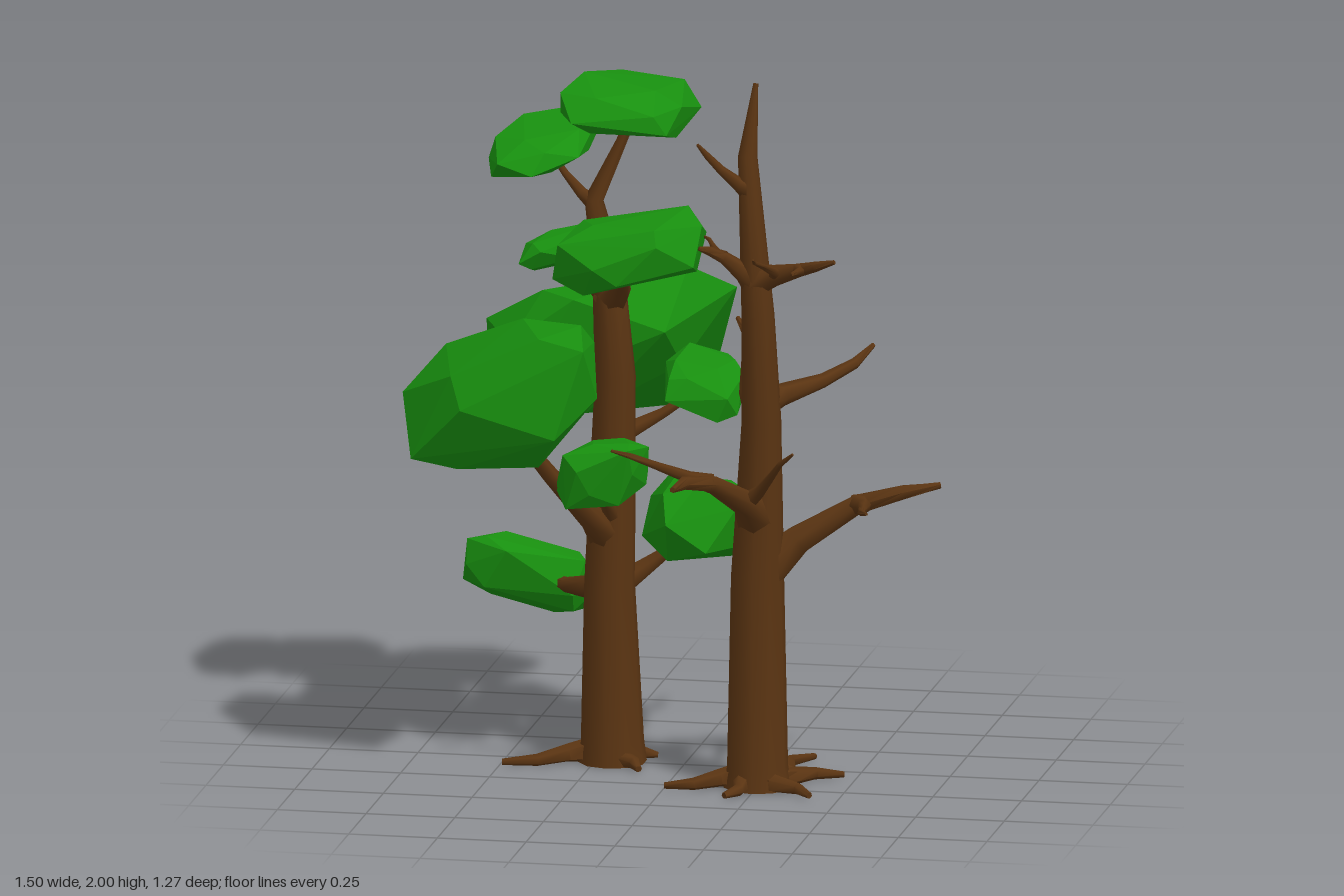
import * as THREE from 'three';
import { ConvexGeometry } from 'three/addons/geometries/ConvexGeometry.js';
import { toCreasedNormals } from 'three/addons/utils/BufferGeometryUtils.js';

const bark = new THREE.MeshStandardMaterial({ color: 0x5a3412 });
const leaf = new THREE.MeshStandardMaterial({ color: 0x18900f, flatShading: true });
const vec = (x, y, z) => new THREE.Vector3(x, y, z);

function seeded(seed) {
  let s = seed * 7919 + 17;
  return () => (s = (s * 16807) % 2147483647) / 2147483647;
}

// Tapered tube through points with one radius each, closed at both ends
function limb(name, pts, radii, sides) {
  const pos = [], idx = [], last = pts.length - 1, q = new THREE.Quaternion();
  pts.forEach((p, i) => {
    const dir = pts[Math.min(i + 1, last)].clone().sub(pts[Math.max(i - 1, 0)]).normalize();
    q.setFromUnitVectors(vec(0, 1, 0), dir);
    for (let k = 0; k < sides; k++) {
      const a = k / sides * Math.PI * 2, r = i * sides, n = r + sides, k2 = (k + 1) % sides;
      const v = vec(Math.sin(a), 0, Math.cos(a)).multiplyScalar(radii[i]).applyQuaternion(q).add(p);
      pos.push(v.x, Math.max(0, v.y), v.z);
      if (i < last) idx.push(r + k, r + k2, n + k, r + k2, n + k2, n + k);
    }
  });
  for (let k = 1; k < sides - 1; k++) {
    const t = last * sides;
    idx.push(0, k + 1, k, t, t + k, t + k + 1);
  }
  const geo = new THREE.BufferGeometry();
  geo.setAttribute('position', new THREE.Float32BufferAttribute(pos, 3));
  geo.setIndex(idx);
  const mesh = new THREE.Mesh(toCreasedNormals(geo, 1.15), bark);
  mesh.name = name;
  return mesh;
}

// Branch that bows upward and kinks sideways; returns its joints for twigs
function branch(group, name, start, tip, r, bow) {
  const span = tip.clone().sub(start), len = span.length();
  const side = vec(span.z, 0, -span.x).normalize();
  const joints = [0, 0.22, 0.55, 0.8, 1].map((t, i) => {
    const p = start.clone().addScaledVector(span, t);
    p.y += bow * len * Math.sin(Math.PI * t);
    return p.addScaledVector(side, len * 0.04 * Math.sin(i * Math.PI / 2));
  });
  group.add(limb(name, joints, [1.1, 0.7, 0.45, 0.34, 0.15].map(f => f * r), 6));
  return joints;
}

// Trunk from [x, y, z, radius] stations; returns a lookup of its axis by height
function trunk(group, name, stations) {
  const pts = stations.map(([x, y, z]) => vec(x, y, z));
  group.add(limb(name, pts, stations.map(s => s[3]), 10));
  return y => {
    const i = Math.max(1, pts.findIndex(p => p.y >= y)), a = pts[i - 1], b = pts[i];
    return a.clone().lerp(b, (y - a.y) / (b.y - a.y));
  };
}

// Flat crooked roots, each given by heading in degrees (0 = +x, 90 = +z) and length
function roots(group, name, base, list) {
  list.forEach(([deg, len], i) => {
    const along = (t, turn) => {
      const a = (deg + turn) * Math.PI / 180;
      return vec(base.x + Math.cos(a) * len * t, 0.03 - 0.02 * t, base.z + Math.sin(a) * len * t);
    };
    const pts = [along(0.1, 0), along(0.4, 8), along(0.7, -6), along(1, 0)];
    group.add(limb(name + (i + 1), pts, [0.05, 0.028, 0.018, 0.009], 6));
  });
}

// Faceted leaf clump filling a box; height slopes by kx and kz, depth slides with x by skew
function clump(name, center, size, [kx, kz, skew], seed) {
  const rnd = seeded(seed), pts = [], count = 20;
  const swell = c => Math.sign(c) * Math.pow(Math.abs(c), 0.65);
  for (let i = 0; i < count; i++) {
    const y = 1 - 2 * (i + 0.5) / count, r = Math.sqrt(1 - y * y);
    const a = i * 2.4 + seed + (rnd() - 0.5) * 0.6;
    const p = vec(swell(Math.cos(a) * r), swell(y), swell(Math.sin(a) * r));
    p.multiplyScalar(0.85 + rnd() * 0.2);
    p.y += kx * p.x + kz * p.z;
    p.z += skew * p.x;
    pts.push(p);
  }
  const box = new THREE.Box3().setFromPoints(pts);
  const mid = box.getCenter(vec(0, 0, 0)), fit = size.clone().divide(box.getSize(vec(0, 0, 0)));
  pts.forEach(p => p.sub(mid).multiply(fit).add(center));
  const mesh = new THREE.Mesh(new ConvexGeometry(pts), leaf);
  mesh.name = name;
  return mesh;
}

function leafyTree() {
  const g = new THREE.Group();
  g.name = 'leafyTree';
  const axis = trunk(g, 'leafyTrunk', [
    [-0.203, 0, -0.005, 0.096], [-0.203, 0.06, -0.005, 0.088], [-0.21, 0.5, 0, 0.071], [-0.19, 1.1, 0.02, 0.057],
    [-0.21, 1.4, 0.02, 0.045], [-0.25, 1.6, 0.02, 0.027], [-0.14, 1.84, 0.02, 0.011]]);
  roots(g, 'leafyRoot', axis(0), [[159, 0.31], [250, 0.18], [-25, 0.13], [52, 0.16]]);

  // Clumps: name, centre, size, slopes, then height and radius of the carrying bough
  [
    ['crown', [-0.155, 1.87, 0.01], [0.35, 0.175, 0.46], [-0.5, -0.1, -0.4], 1.72, 0.014],
    ['upperRight', [-0.405, 1.745, -0.02], [0.27, 0.13, 0.4], [0.4, -0.6, -0.3], 1.59, 0.024],
    ['upperFront', [-0.1, 1.515, 0.24], [0.4, 0.21, 0.38], [0.2, 0, -0.15], 1.32, 0.048],
    ['upperBack', [-0.355, 1.435, -0.105], [0.23, 0.13, 0.21], [0.6, -0.1, -0.5], 1.32, 0.035],
    ['largeFront', [-0.455, 1.075, 0.305], [0.59, 0.47, 0.53], [0.5, 0, 0.55], 0.63, 0.052],
    ['largeBack', [-0.265, 1.115, -0.355], [0.69, 0.49, 0.57], [0.45, 0.5, -0.15], 0.86, 0.048],
    ['smallLeft', [0.035, 1.065, -0.1], [0.23, 0.17, 0.26], [-0.3, -0.4, 0], 0.92, 0.036],
    ['smallFront', [-0.2, 0.865, 0.18], [0.26, 0.19, 0.22], [0.3, 0, 0], 0.67, 0.036],
    ['lowerLeft', [0.025, 0.68, -0.1], [0.31, 0.26, 0.54], [-0.1, 0.4, 0], 0.48, 0.048],
    ['lowerRight', [-0.465, 0.48, -0.17], [0.39, 0.24, 0.24], [-0.4, 0.3, -0.3], 0.5, 0.048],
  ].forEach(([name, center, size, slope, height, r], i) => {
    g.add(clump(name + 'Clump', vec(...center), vec(...size), slope, i + 1));
    branch(g, name + 'Bough', axis(height), vec(...center), r, -0.05);
  });
  return g;
}

function bareTree() {
  const g = new THREE.Group();
  g.name = 'bareTree';
  const axis = trunk(g, 'bareTrunk', [
    [0.25, 0, 0.22, 0.095], [0.25, 0.06, 0.22, 0.085], [0.25, 0.6, 0.22, 0.074], [0.265, 1.05, 0.24, 0.055],
    [0.26, 1.35, 0.265, 0.046], [0.23, 1.8, 0.26, 0.027], [0.247, 2, 0.23, 0.007]]);
  roots(g, 'bareRoot', axis(0), [[162, 0.26], [-75, 0.36], [-34, 0.26], [36, 0.21], [110, 0.18]]);

  // Bare branches: height on trunk, tip, radius, bow, then twigs as joint number and tip
  [
    [1.7, [0.1, 1.84, 0.32], 0.028, -0.06, []],
    [1.45, [0.5, 1.54, 0.39], 0.042, 0, [[1, [0.29, 1.56, 0.49]], [2, [0.4, 1.52, 0.48]]]],
    [1.44, [0.1, 1.54, 0.3], 0.04, 0.1, [[2, [0.08, 1.54, 0.14]]]],
    [1.1, [0.52, 1.2, -0.07], 0.045, -0.07, []],
    [1.06, [0.13, 1.25, -0.11], 0.046, 0, []],
    [0.75, [0.09, 0.93, 0.63], 0.056, 0.13, [[1, [0.4, 1.01, 0.48]], [2, [-0.11, 1, 0.49]]]],
    [0.6, [0.75, 0.86, 0.14], 0.064, 0.11, [[2, [0.6, 0.84, 0.44]]]],
  ].forEach(([height, tip, r, bow, twigs], i) => {
    const name = 'bareBranch' + (i + 1);
    const joints = branch(g, name, axis(height), vec(...tip), r, bow);
    twigs.forEach(([j, end], k) => branch(g, name + 'Twig' + (k + 1), joints[j], vec(...end), r * 0.45, 0));
  });
  return g;
}

export function createModel() {
  const model = new THREE.Group();
  model.name = 'twoTrees';
  model.add(leafyTree(), bareTree());
  return model;
}
